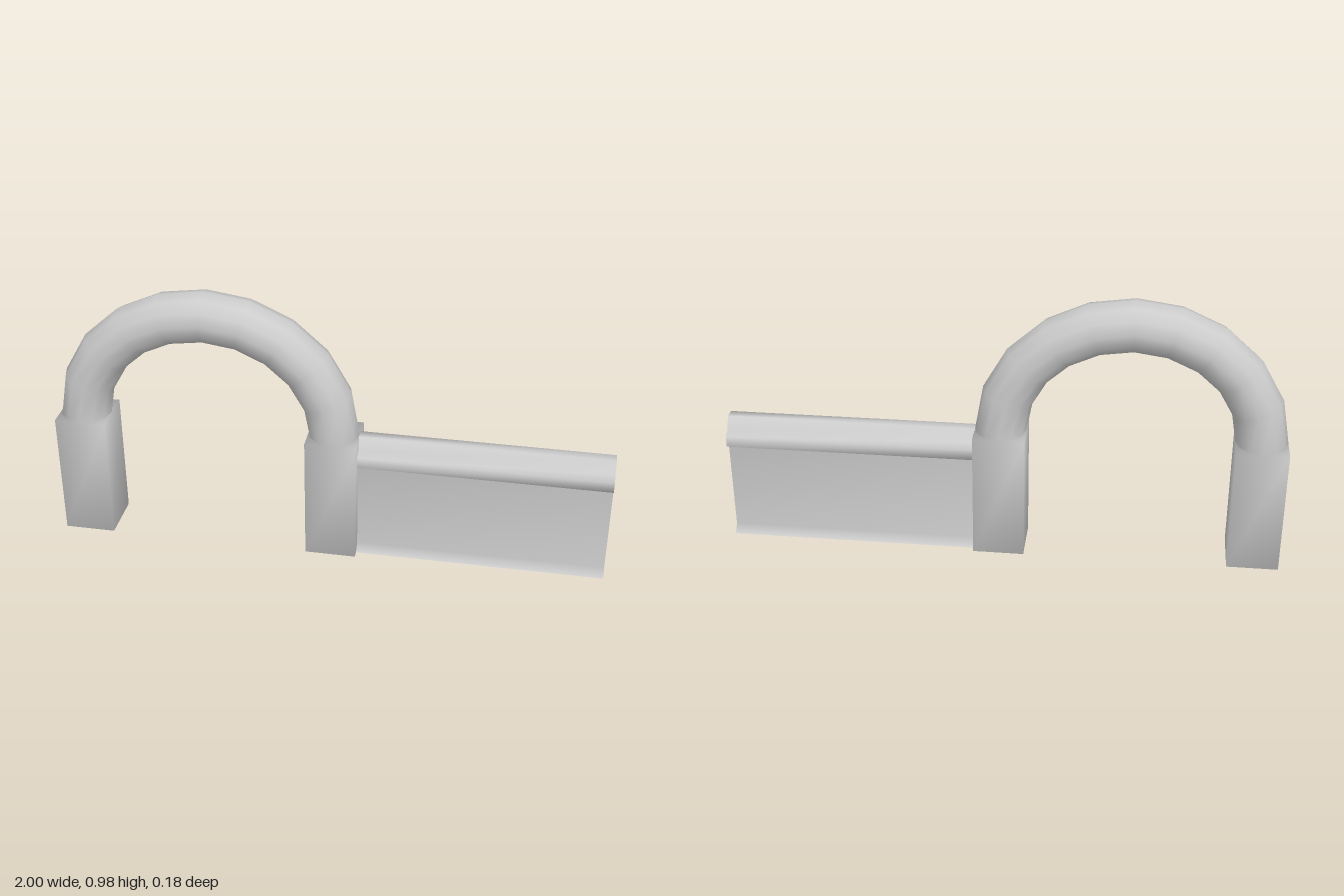
import * as THREE from 'three';
import { mergeVertices } from 'three/addons/utils/BufferGeometryUtils.js';

const material = new THREE.MeshStandardMaterial({ color: 0xcccccc, side: THREE.DoubleSide });

const POST_HEIGHT = 0.465;
const POST_WIDTH = 0.184;
const ARCH_X = -0.449;
const ARCH_RADIUS = 0.459;

function addMesh(group, name, geometry) {
  const mesh = new THREE.Mesh(geometry, material);
  mesh.name = name;
  group.add(mesh);
  return mesh;
}

// Square post whose corners share one softened normal
function postGeometry() {
  const box = new THREE.BoxGeometry(POST_WIDTH, POST_HEIGHT, POST_WIDTH);
  box.deleteAttribute('normal');
  box.deleteAttribute('uv');
  const geometry = mergeVertices(box);
  geometry.computeVertexNormals();
  return geometry;
}

// Half-ellipse centre line of the arch
class ArchCurve extends THREE.Curve {
  getPoint(t, target = new THREE.Vector3()) {
    const a = Math.PI * (1 - t);
    return target.set(ARCH_RADIUS * Math.cos(a), 0.425 * Math.sin(a), 0);
  }
}

// Open sheet: a z/y profile swept along x
function railGeometry(profile, x0, x1) {
  const positions = [];
  const index = [];
  profile.forEach(([z, y], i) => {
    positions.push(x0, y, z, x1, y, z);
    if (i > 0) {
      const a = 2 * (i - 1);
      index.push(a, a + 1, a + 3, a, a + 3, a + 2);
    }
  });
  const geometry = new THREE.BufferGeometry();
  geometry.setAttribute('position', new THREE.Float32BufferAttribute(positions, 3));
  geometry.setIndex(index);
  geometry.computeVertexNormals();
  return geometry;
}

export function createModel() {
  const model = new THREE.Group();
  model.name = 'archAndBarrier';

  // Posts under both ends of the arch
  for (const [name, side] of [['rightPost', -1], ['leftPost', 1]]) {
    const post = addMesh(model, name, postGeometry());
    post.position.set(ARCH_X + side * ARCH_RADIUS, POST_HEIGHT / 2, 0);
  }

  // Round arch pipe
  const arch = addMesh(model, 'archPipe', new THREE.TubeGeometry(new ArchCurve(), 10, 0.092, 12, false));
  arch.position.set(ARCH_X, POST_HEIGHT, 0);

  // Hollow barrier, open below and at its end: foot, web, lip and narrow ridge
  const half = [[0.067, 0], [0.042, 0.03], [0.042, 0.355], [0.067, 0.37], [0.067, 0.41], [0.04, 0.425], [0.02, 0.47]];
  const profile = [...half, ...half.map(([z, y]) => [-z, y]).reverse()];
  const barrier = addMesh(model, 'barrier', railGeometry(profile, 0.1, 1));
  barrier.position.z = -0.003;

  return model;
}
